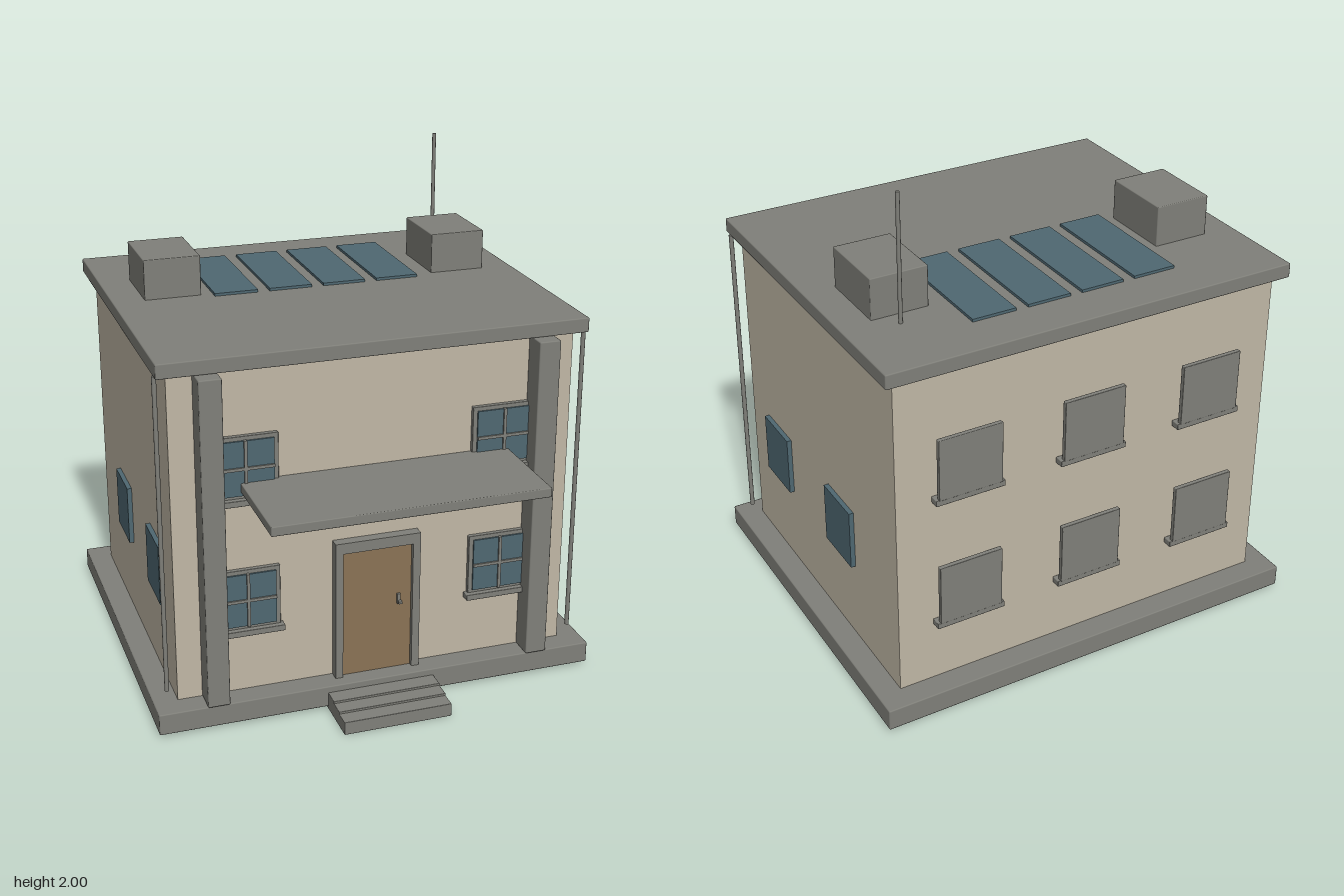
import * as THREE from 'three';
import { RoundedBoxGeometry } from 'three/addons/geometries/RoundedBoxGeometry.js';

const material = (name, color) => {
  const m = new THREE.MeshStandardMaterial({ color });
  m.name = name;
  return m;
};

export function createModel() {
  const house = new THREE.Group();
  house.name = 'house';
  const grey = material('grey concrete', 0x80807a);
  const cream = material('cream plaster', 0xc1b8a6);
  const blue = material('blue glass', 0x4f6872);
  const brown = material('brown wood', 0x8b7355);

  // Box given by its extents; a bevel above zero softens the edges
  function box(parent, name, mat, [x0, x1], [y0, y1], [z0, z1], bevel = 0) {
    const size = [x1 - x0, y1 - y0, z1 - z0];
    const geo = bevel ? new RoundedBoxGeometry(...size, 1, bevel) : new THREE.BoxGeometry(...size);
    const mesh = new THREE.Mesh(geo, mat);
    mesh.name = name;
    mesh.position.set((x0 + x1) / 2, (y0 + y1) / 2, (z0 + z1) / 2);
    parent.add(mesh);
    return mesh;
  }

  function pole(name, radius, x, y0, y1, z) {
    const mesh = new THREE.Mesh(new THREE.CylinderGeometry(radius, radius, y1 - y0, 10), grey);
    mesh.name = name;
    mesh.position.set(x, (y0 + y1) / 2, z);
    house.add(mesh);
  }

  // Main masses
  box(house, 'foundation', grey, [-0.9, 0.9], [0.012, 0.1], [-0.925, 0.59], 0.005);
  box(house, 'walls', cream, [-0.805, 0.805], [0.1, 1.44], [-0.83, 0.497]);
  box(house, 'roof', grey, [-0.85, 0.85], [1.438, 1.497], [-0.875, 0.542], 0.005);
  box(house, 'canopy', grey, [-0.54, 0.54], [0.95, 0.988], [0.497, 0.922], 0.004);

  // Pillars, downpipes and chimneys, mirrored
  for (const s of [-1, 1]) {
    const span = (a, b) => (s > 0 ? [a, b] : [-b, -a]);
    box(house, 'pillar', grey, span(0.62, 0.708), [0.1, 1.438], [0.496, 0.597], 0.005);
    box(house, 'chimney', grey, span(0.492, 0.722), [1.49, 1.66], [-0.508, -0.208], 0.004);
    pole('downpipe', 0.009, s * 0.847, 0.15, 1.44, 0.5);
    // Side windows
    for (const z of [0.22, -0.357]) {
      box(house, 'sideWindow', blue, span(0.8, 0.824), [0.433, 0.68], [z - 0.112, z + 0.112]);
    }
  }
  pole('antenna', 0.008, 0.638, 1.49, 2, -0.573);

  // Roof panels
  for (let i = 0; i < 4; i++) {
    const x = -0.356 + i * 0.2275;
    box(house, 'solarPanel', blue, [x - 0.089, x + 0.089], [1.496, 1.508], [-0.693, -0.173]);
  }

  // Entrance steps, each shorter and higher
  [[0.055, 0.79], [0.064, 0.725], [0.073, 0.66]].forEach(([top, front]) => {
    box(house, 'step', grey, [-0.222, 0.22], [0, top], [0.56, front], 0.003);
  });

  // Door with frame and handle
  const door = new THREE.Group();
  door.name = 'door';
  house.add(door);
  for (const s of [-1, 1]) {
    box(door, 'doorPost', grey, s > 0 ? [0.144, 0.175] : [-0.175, -0.144], [0.1, 0.645], [0.49, 0.54]);
  }
  box(door, 'doorHead', grey, [-0.175, 0.175], [0.642, 0.687], [0.49, 0.54]);
  box(door, 'doorLeaf', brown, [-0.144, 0.144], [0.1, 0.642], [0.49, 0.52]);
  box(door, 'handlePlate', grey, [0.084, 0.098], [0.385, 0.428], [0.518, 0.53]);
  box(door, 'handleGrip', grey, [0.086, 0.1], [0.39, 0.4], [0.528, 0.545]);

  // Window: backing frame, four panes, crossbars and sill
  function makeWindow(name, x, y, z) {
    const w = new THREE.Group();
    w.name = name;
    w.position.set(x, y, z);
    house.add(w);
    box(w, 'frame', grey, [-0.13, 0.13], [-0.125, 0.127], [0, 0.02], 0.003);
    box(w, 'glass', blue, [-0.112, 0.112], [-0.11, 0.11], [0.019, 0.027]);
    box(w, 'uprightBar', grey, [-0.006, 0.006], [-0.112, 0.112], [0.02, 0.034]);
    box(w, 'crossBar', grey, [-0.112, 0.112], [-0.006, 0.006], [0.02, 0.034]);
    box(w, 'sill', grey, [-0.142, 0.142], [-0.147, -0.122], [0.002, 0.042], 0.003);
  }
  for (const y of [0.498, 1.046]) {
    for (const x of [-0.52, 0.52]) makeWindow('frontWindow', x, y, 0.495);
    for (const x of [-0.52, 0, 0.52]) makeWindow('backWindow', x, y, -0.871);
  }

  return house;
}
